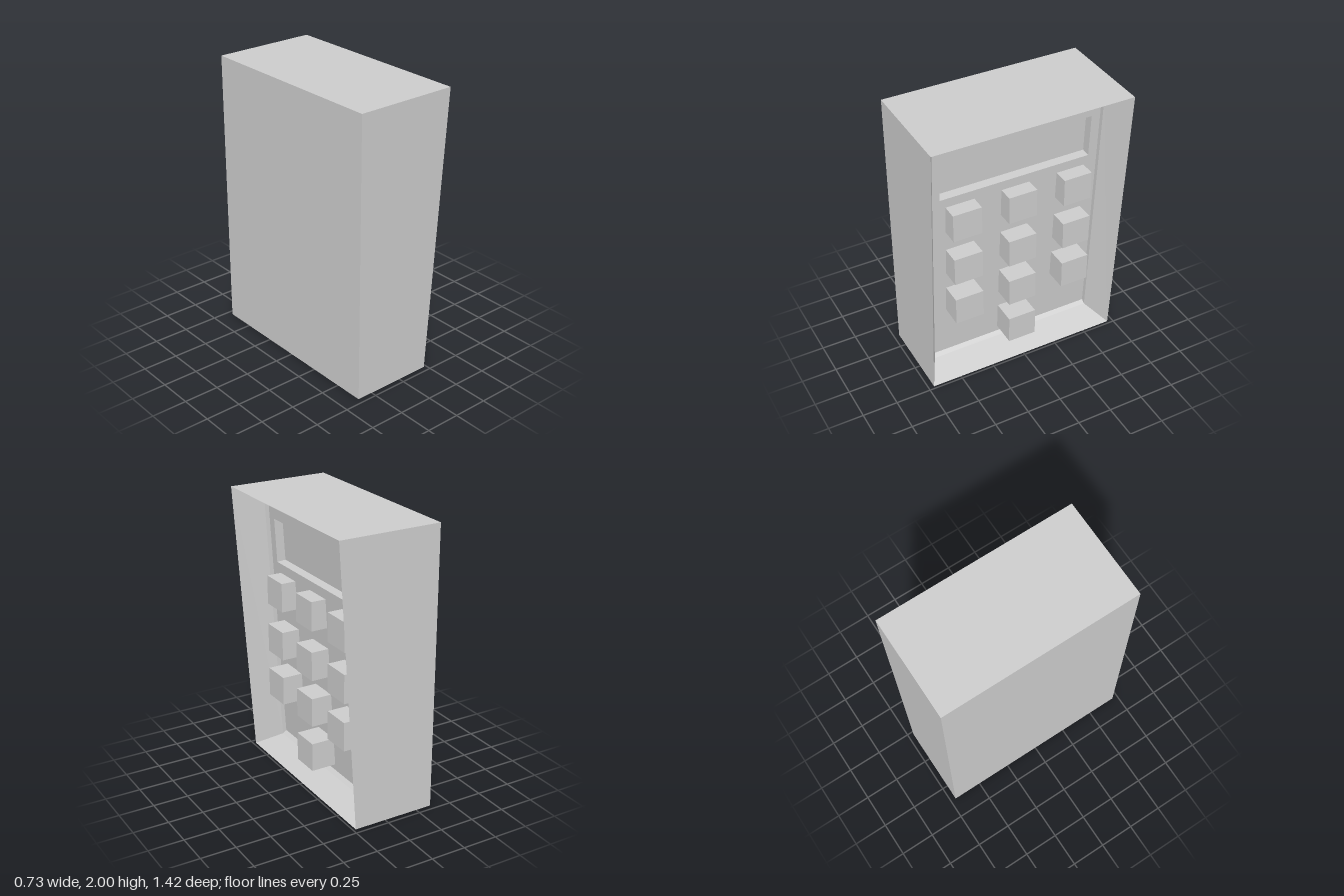
import * as THREE from 'three';

const material = new THREE.MeshStandardMaterial({ color: 0xcccccc, flatShading: true });

// Rectangle in the z/y plane, counter-clockwise seen from +x; x may differ at bottom and top
const rect = (halfZ, y0, y1, x0, x1) => [
  [x0, y0, halfZ], [x0, y0, -halfZ], [x1, y1, -halfZ], [x1, y1, halfZ],
];

// Skin a series of rectangles from back to front, optionally capping either end
function skin(name, loops, { capStart = false, capEnd = false } = {}) {
  const pos = [];
  const quad = (a, b, c, d) => pos.push(...a, ...b, ...c, ...a, ...c, ...d);
  for (let k = 0; k < loops.length - 1; k++) {
    const a = loops[k], b = loops[k + 1];
    for (let i = 0; i < 4; i++) {
      const j = (i + 1) % 4;
      quad(a[i], a[j], b[j], b[i]);
    }
  }
  if (capStart) quad(...[...loops[0]].reverse());
  if (capEnd) quad(...loops[loops.length - 1]);
  const geometry = new THREE.BufferGeometry();
  geometry.setAttribute('position', new THREE.Float32BufferAttribute(pos, 3));
  geometry.computeVertexNormals();
  const mesh = new THREE.Mesh(geometry, material);
  mesh.name = name;
  return mesh;
}

export function createModel() {
  const model = new THREE.Group();
  model.name = 'keypad';

  // Sloping plane of the sunken panel
  const panelX = (y) => 0.0145 + 0.0615 * y;
  const onPanel = (halfZ, y0, y1, offset = 0) =>
    rect(halfZ, y0, y1, panelX(y0) + offset, panelX(y1) + offset);

  // Wedge housing with a sharp rim and bevelled inner walls
  const bevelEnd = onPanel(0.615, 0.075, 1.93, 0.03);
  model.add(skin('housing', [
    rect(0.71, 0, 2, -0.365, -0.365),
    rect(0.71, 0, 2, 0.23, 0.365),
    bevelEnd,
  ], { capStart: true }));

  // Panel with a small step around it and an opening for the display
  const displayRim = onPanel(0.55, 1.46, 1.775);
  model.add(skin('panel', [bevelEnd, onPanel(0.615, 0.095, 1.945), displayRim]));

  // Sunken display
  model.add(skin('display', [displayRim, onPanel(0.55, 1.465, 1.78, -0.065)], { capEnd: true }));

  // Buttons: three rows of three and one below
  const buttons = new THREE.Group();
  buttons.name = 'buttons';
  const front = 0.207, back = 0.01;
  const buttonGeometry = new THREE.BoxGeometry(front - back, 0.207, 0.207);
  const addButton = (y, z) => {
    const button = new THREE.Mesh(buttonGeometry, material);
    button.name = 'button';
    button.position.set((front + back) / 2, y, z);
    buttons.add(button);
  };
  for (const y of [1.287, 0.928, 0.586]) {
    for (const z of [0.405, 0, -0.415]) addButton(y, z);
  }
  addButton(0.244, 0);
  model.add(buttons);

  return model;
}
